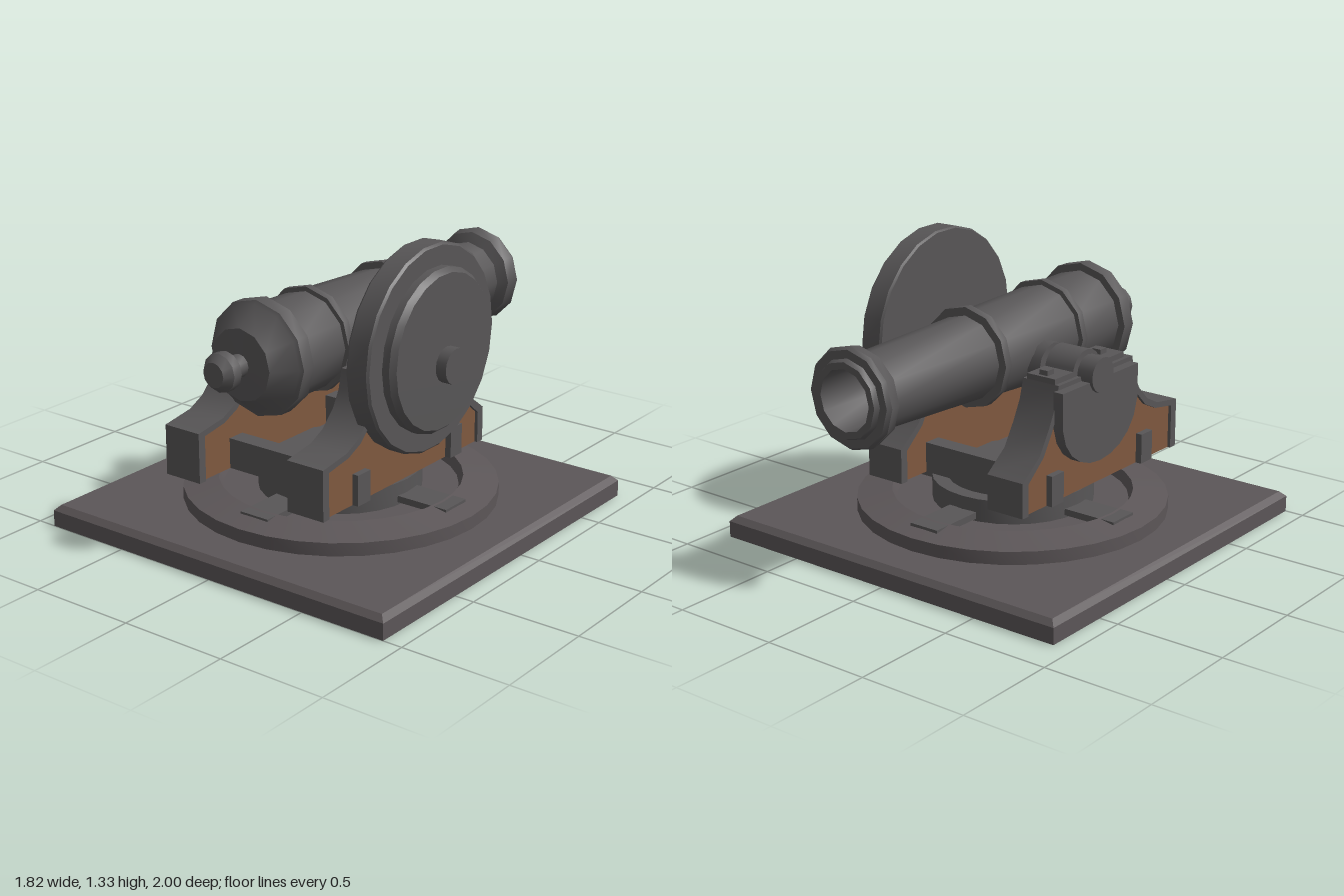
import * as THREE from 'three';
import { toCreasedNormals } from 'three/addons/utils/BufferGeometryUtils.js';

const material = (name, color) => {
  const m = new THREE.MeshStandardMaterial({ color });
  m.name = name;
  return m;
};

export function createModel() {
  const iron = material('dark iron', 0x585657);
  const stone = material('base iron', 0x5c5658);
  const wood = material('brown wood', 0x80593f);
  const model = new THREE.Group();

  const add = (name, geometry, mat, x = 0, y = 0, z = 0, parent = model) => {
    const mesh = new THREE.Mesh(geometry, mat);
    mesh.name = name;
    mesh.position.set(x, y, z);
    parent.add(mesh);
    return mesh;
  };
  // Turned part from [radius, height] points
  const turned = (points, sides, crease = 0.6) => toCreasedNormals(
    new THREE.LatheGeometry(points.map(p => new THREE.Vector2(...p)), sides), crease);
  // Side profile in [z, y], extruded from x0 to x1
  const slab = (shape, x0, x1) => toCreasedNormals(
    new THREE.ExtrudeGeometry(shape, { depth: x1 - x0, bevelEnabled: false, curveSegments: 10 })
      .rotateY(-Math.PI / 2).translate(x1, 0, 0), 0.5);
  const polygon = points => new THREE.Shape(points.map(p => new THREE.Vector2(...p)));
  const box = (w, h, d) => new THREE.BoxGeometry(w, h, d);

  // Square base plate with a chamfered top edge
  const q = Math.SQRT2;
  add('basePlate', turned([[0, 0], [0.91 * q, 0], [0.91 * q, 0.075], [0.885 * q, 0.1], [0, 0.1]], 4, 0.2)
    .rotateY(Math.PI / 4), stone, 0, 0, 0.09);

  // Round turntable, its recessed floor and four radial lugs
  add('turntable', turned([[0, 0.1], [0.71, 0.1], [0.71, 0.16], [0.55, 0.19], [0.53, 0.145], [0, 0.145]], 32, 0.4),
    stone, 0, 0, 0.09);
  for (let i = 0; i < 4; i++) {
    const lug = new THREE.Group();
    lug.name = 'turntableLug';
    lug.position.z = 0.08;
    lug.rotation.y = i * Math.PI / 2;
    add('lugPlate', box(0.15, 0.03, 0.27), iron, 0, 0.173, 0.485, lug);
    model.add(lug);
  }
  add('pedestal', turned([[0, 0.14], [0.37, 0.14], [0.37, 0.25], [0.3, 0.25], [0.3, 0.3], [0, 0.3]], 28),
    iron, 0, 0, 0.095);

  // Carriage cheeks: wooden core with an iron band round its ends and top
  const outer = [[0.76, 0.29], [0.76, 0.52], [0.6, 0.545], [0.52, 0.585], [0.45, 0.655], [0.41, 0.73],
    [0.39, 0.82], [-0.16, 0.82], [-0.185, 0.73], [-0.23, 0.64], [-0.29, 0.54], [-0.41, 0.45], [-0.41, 0.29]];
  const inner = [[0.72, 0.29], [0.72, 0.498], [0.59, 0.52], [0.505, 0.56], [0.43, 0.635], [0.385, 0.715],
    [0.365, 0.795], [-0.135, 0.795], [-0.16, 0.715], [-0.205, 0.625], [-0.265, 0.525], [-0.37, 0.435], [-0.37, 0.29]];
  const band = polygon([...outer, ...inner.slice().reverse()]);
  // Cap strap arching over the trunnion
  const cap = new THREE.Shape();
  cap.moveTo(-0.16, 0.815);
  cap.lineTo(0.35, 0.815);
  cap.lineTo(0.35, 0.845);
  cap.lineTo(0.17, 0.845);
  cap.absarc(0.07, 0.82, 0.103, 0.25, Math.PI - 0.25, false);
  cap.lineTo(-0.03, 0.845);
  cap.lineTo(-0.16, 0.845);
  for (const [side, x0, x1] of [['right', -0.44, -0.25], ['left', 0.235, 0.425]]) {
    const mid = (x0 + x1) / 2;
    add(side + 'CheekWood', slab(polygon(inner), x0 + 0.015, x1 - 0.015), wood);
    add(side + 'CheekBand', slab(band, x0, x1), iron);
    add(side + 'TrunnionCap', slab(cap, mid - 0.075, mid + 0.075), iron);
    for (const z of [-0.12, 0.27]) add(side + 'CapBolt', box(0.045, 0.025, 0.045), iron, mid, 0.855, z);
  }

  // Cross beams passing through both cheeks
  for (const z of [0.5, -0.18]) add('crossBeam', box(0.895, 0.14, 0.085), iron, -0.008, 0.36, z);

  // Half-round plate on the right cheek
  const half = new THREE.Shape();
  half.moveTo(-0.19, 0.8);
  half.lineTo(-0.19, 0.64);
  half.bezierCurveTo(-0.15, 0.35, 0.33, 0.35, 0.37, 0.64);
  half.lineTo(0.37, 0.8);
  add('rightCheekPlate', slab(half, -0.485, -0.435), iron);

  // Trunnion axle with shoulders at the barrel
  add('trunnion', turned([[0, -0.5], [0.08, -0.5], [0.08, 0.61], [0, 0.61]], 16).rotateZ(-Math.PI / 2),
    iron, 0, 0.82, 0.08);
  add('trunnionShoulder', turned([[0, -0.25], [0.105, -0.25], [0.105, 0.24], [0, 0.24]], 12).rotateZ(-Math.PI / 2),
    iron, 0, 0.82, 0.06);

  // Large elevation wheel on the left side
  add('wheel', turned([[0, 0.38], [0.455, 0.38], [0.462, 0.39], [0.462, 0.485], [0.452, 0.495], [0.365, 0.495],
    [0.365, 0.53], [0.345, 0.555], [0, 0.56]], 22, 0.4).rotateZ(-Math.PI / 2), iron, 0, 0.876, 0.09);

  // Barrel, muzzle at the back and breech knob at the front
  const barrel = add('barrel', turned([
    [0, -0.65], [0.125, -0.65], [0.135, -0.998], [0.165, -0.998], [0.175, -0.975], [0.212, -0.975],
    [0.224, -0.955], [0.212, -0.9], [0.168, -0.875], [0.19, -0.24], [0.228, -0.24], [0.228, -0.2], [0.198, -0.195],
    [0.215, 0.29], [0.238, 0.29], [0.238, 0.325], [0.217, 0.325], [0.222, 0.58], [0.257, 0.58], [0.257, 0.645],
    [0.24, 0.655], [0.16, 0.75], [0.05, 0.755], [0.05, 0.81], [0.085, 0.835], [0.085, 0.88], [0.055, 0.915],
    [0, 0.915]], 12).rotateX(Math.PI / 2), iron, 0, 0.88, 0);
  barrel.rotation.y = -0.022;

  return model;
}
